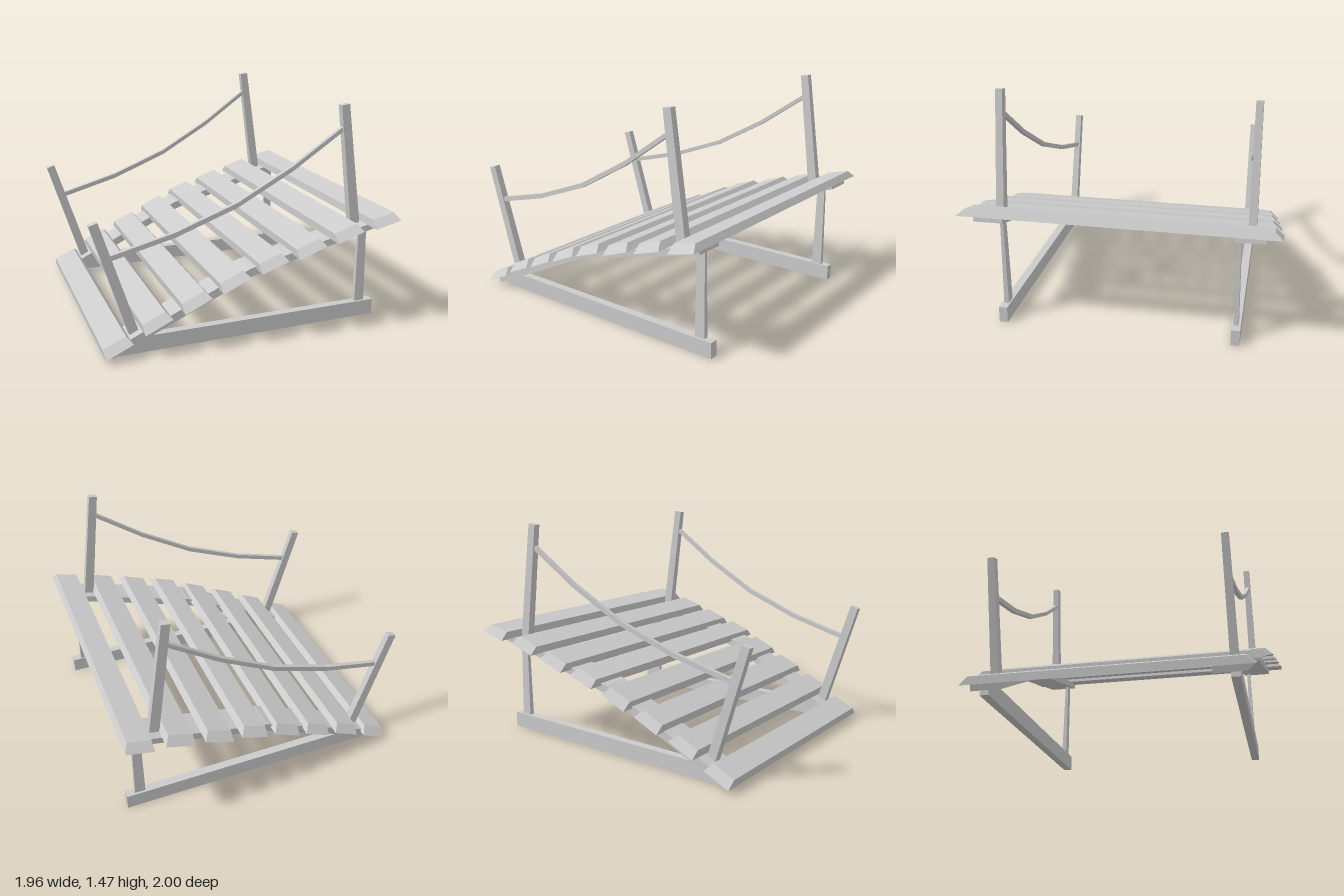
import * as THREE from 'three';

const material = new THREE.MeshStandardMaterial({ color: 0xcccccc, flatShading: true });

// Six-sided solid: corner(sx, sy, sz) gives the position of each box corner (signs are -1 or 1)
function hexa(name, corner) {
  const geometry = new THREE.BoxGeometry(2, 2, 2);
  const p = geometry.attributes.position;
  for (let i = 0; i < p.count; i++) {
    p.setXYZ(i, ...corner(Math.sign(p.getX(i)), Math.sign(p.getY(i)), Math.sign(p.getZ(i))));
  }
  geometry.computeVertexNormals();
  const mesh = new THREE.Mesh(geometry, material);
  mesh.name = name;
  return mesh;
}

// Tapered post between two [x, y] points, with [width, depth] at each end
function post(name, bottom, top, z, bottomSize, topSize) {
  const dx = top[0] - bottom[0], dy = top[1] - bottom[1], len = Math.hypot(dx, dy);
  return hexa(name, (sx, sy, sz) => {
    const [x, y] = sy > 0 ? top : bottom;
    const [w, d] = sy > 0 ? topSize : bottomSize;
    return [x + sx * w / 2 * dy / len, y - sx * w / 2 * dx / len, z + sz * d / 2];
  });
}

// Slats, low to high: left x, left y, right x, right y, half length
const SLATS = [
  [-0.935, 0.03, -0.76, 0.11, 0.863],
  [-0.69, 0.16, -0.515, 0.24, 0.88],
  [-0.445, 0.27, -0.27, 0.35, 0.905],
  [-0.205, 0.375, -0.025, 0.457, 0.925],
  [0.04, 0.482, 0.218, 0.545, 0.952],
  [0.285, 0.55, 0.47, 0.617, 0.97],
  [0.54, 0.627, 0.725, 0.687, 0.983],
  [0.80, 0.695, 0.98, 0.737, 1.0],
];

function slat([x0, y0, x1, y1, half]) {
  const len = Math.hypot(x1 - x0, y1 - y0);
  const ux = (x1 - x0) / len, uy = (y1 - y0) / len;
  const thick = 0.048, bevel = 0.016, endBevel = 0.053;
  return hexa('slat', (sx, sy, sz) => {
    const up = sy > 0 ? thick : 0;
    const inset = sy > 0 ? -sx * bevel : 0;
    return [
      (sx > 0 ? x1 : x0) + ux * inset - uy * up,
      (sx > 0 ? y1 : y0) + uy * inset + ux * up,
      sz * (half - (sy > 0 ? endBevel : 0)),
    ];
  });
}

// Bent stringer stations: bottom [x, y], top [x, y], centre z
const STRINGER = [
  { low: [-0.88, 0.01], high: [-0.9, 0.06], z: 0.715 },
  { low: [0.01, 0.435], high: [0, 0.488], z: 0.757 },
  { low: [0.95, 0.695], high: [0.945, 0.735], z: 0.805 },
];

function stringer(side) {
  const group = new THREE.Group();
  group.name = 'stringer';
  for (let i = 0; i < 2; i++) {
    group.add(hexa('stringerSection', (sx, sy, sz) => {
      const s = STRINGER[sx > 0 ? i + 1 : i];
      return [...(sy > 0 ? s.high : s.low), side * s.z + sz * 0.095];
    }));
  }
  return group;
}

// Sagging rope made of straight sections
const ROPE = [[-0.87, 0.63], [-0.46, 0.735], [-0.06, 0.885], [0.31, 1.09], [0.655, 1.325]];

function rope(zLow, zHigh) {
  const group = new THREE.Group();
  group.name = 'handRope';
  for (let i = 0; i < ROPE.length - 1; i++) {
    group.add(hexa('ropeSection', (sx, sy, sz) => {
      const [x, y] = ROPE[sx > 0 ? i + 1 : i];
      const t = (x - ROPE[0][0]) / (ROPE[4][0] - ROPE[0][0]);
      return [x, y + sy * 0.016, zLow + (zHigh - zLow) * t + sz * 0.014];
    }));
  }
  return group;
}

// Ground beam, cut to the slope at its low end
function groundBeam(z) {
  const shape = new THREE.Shape([
    [-0.83, 0], [0.95, 0], [0.95, 0.105], [-0.68, 0.105], [-0.83, 0.034],
  ].map(([x, y]) => new THREE.Vector2(x, y)));
  const geometry = new THREE.ExtrudeGeometry(shape, { depth: 0.055, bevelEnabled: false });
  geometry.translate(0, 0, z - 0.0275);
  const mesh = new THREE.Mesh(geometry, material);
  mesh.name = 'groundBeam';
  return mesh;
}

export function createModel() {
  const model = new THREE.Group();
  model.name = 'slattedRamp';

  const deck = new THREE.Group();
  deck.name = 'deck';
  SLATS.forEach(s => deck.add(slat(s)));
  model.add(deck);

  // Each side: supporting frame below, posts and rope above
  const sides = [
    { name: 'frontSide', side: 1, zLow: 0.738, zHigh: 0.787 },
    { name: 'backSide', side: -1, zLow: -0.714, zHigh: -0.81 },
  ];
  for (const { name, side, zLow, zHigh } of sides) {
    const group = new THREE.Group();
    group.name = name;
    group.add(
      stringer(side),
      groundBeam(side * 0.745),
      post('supportPost', [0.855, 0.09], [0.853, 0.685], side * 0.742, [0.07, 0.032], [0.056, 0.02]),
      post('lowRailPost', [-0.722, 0.105], [-0.957, 0.857], zLow, [0.062, 0.052], [0.056, 0.044]),
      post('highRailPost', [0.757, 0.665], [0.645, 1.47], zHigh, [0.066, 0.052], [0.056, 0.044]),
      rope(zLow, zHigh),
    );
    model.add(group);
  }
  return model;
}
